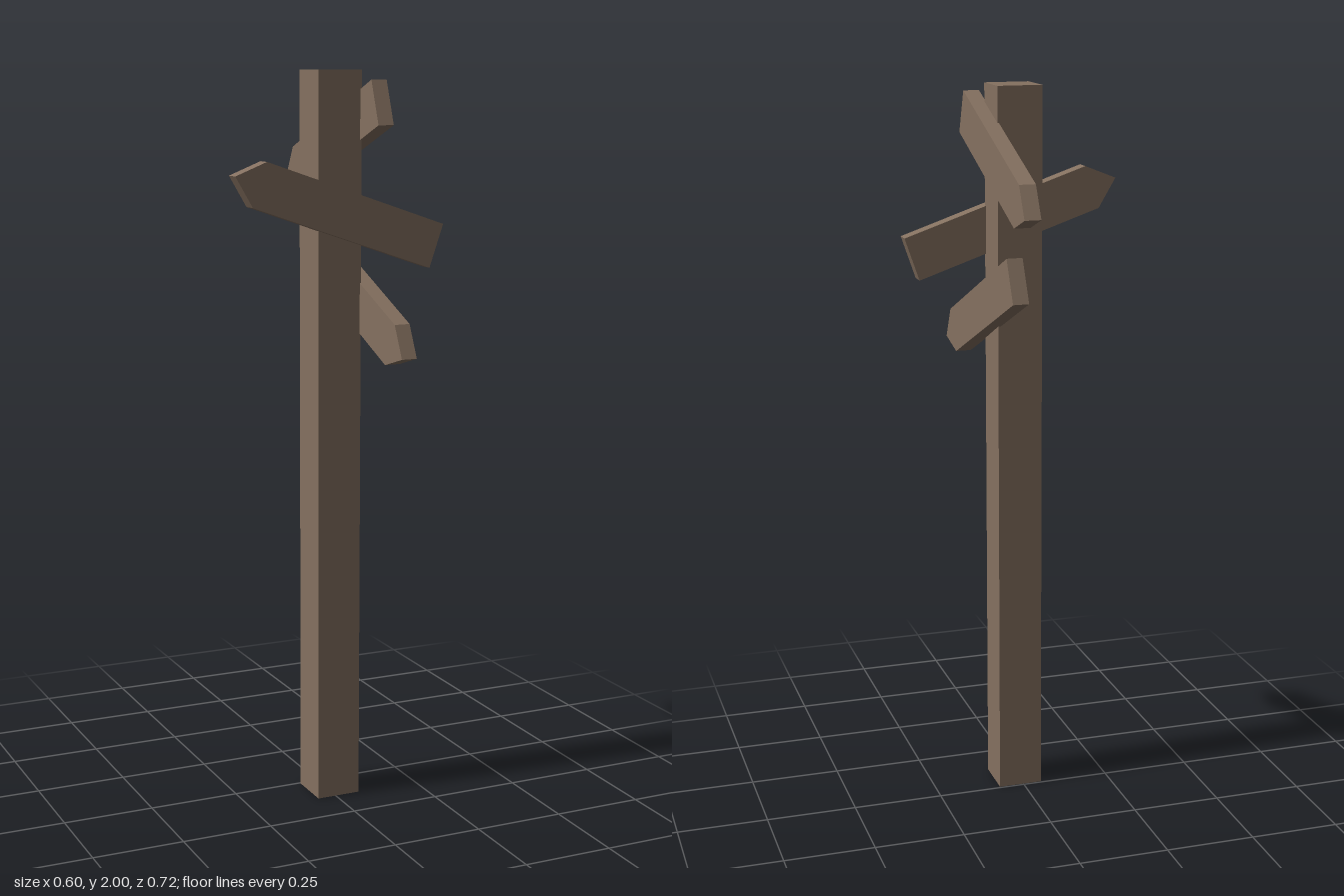
import * as THREE from 'three';

export function createModel() {
  const model = new THREE.Group();
  const wood = new THREE.MeshStandardMaterial({ color: 0x857160 });
  wood.name = 'weathered wood';

  // Square post
  const post = new THREE.Mesh(new THREE.BoxGeometry(0.124, 2, 0.123), wood);
  post.name = 'post';
  post.position.set(0.009, 1, 0.0665);
  model.add(post);

  // Arrow board pointing along -x, centred on its thickness
  const L = 0.271, W = 0.0617, T = 0.044;
  const outline = new THREE.Shape([
    [-L, -W], [L, -W], [L, W], [-L, W], [-0.343, 0],
  ].map(([x, y]) => new THREE.Vector2(x, y)));
  const board = new THREE.ExtrudeGeometry(outline, { depth: T, bevelEnabled: false });
  board.translate(0, 0, -T / 2);

  // Each sign: name, position, yaw, tilt in degrees
  const signs = [
    ['frontSign', [0.023, 1.622, 0.14], 0, -18.9],
    ['upperSideSign', [0.089, 1.8215, -0.0385], -90, 20.6],
    ['lowerSideSign', [0.087, 1.407, 0.05], 92.1, 24.4],
  ];
  for (const [name, position, yaw, tilt] of signs) {
    const sign = new THREE.Mesh(board, wood);
    sign.name = name;
    sign.position.set(...position);
    sign.rotation.set(0, THREE.MathUtils.degToRad(yaw), THREE.MathUtils.degToRad(tilt));
    model.add(sign);
  }
  return model;
}
